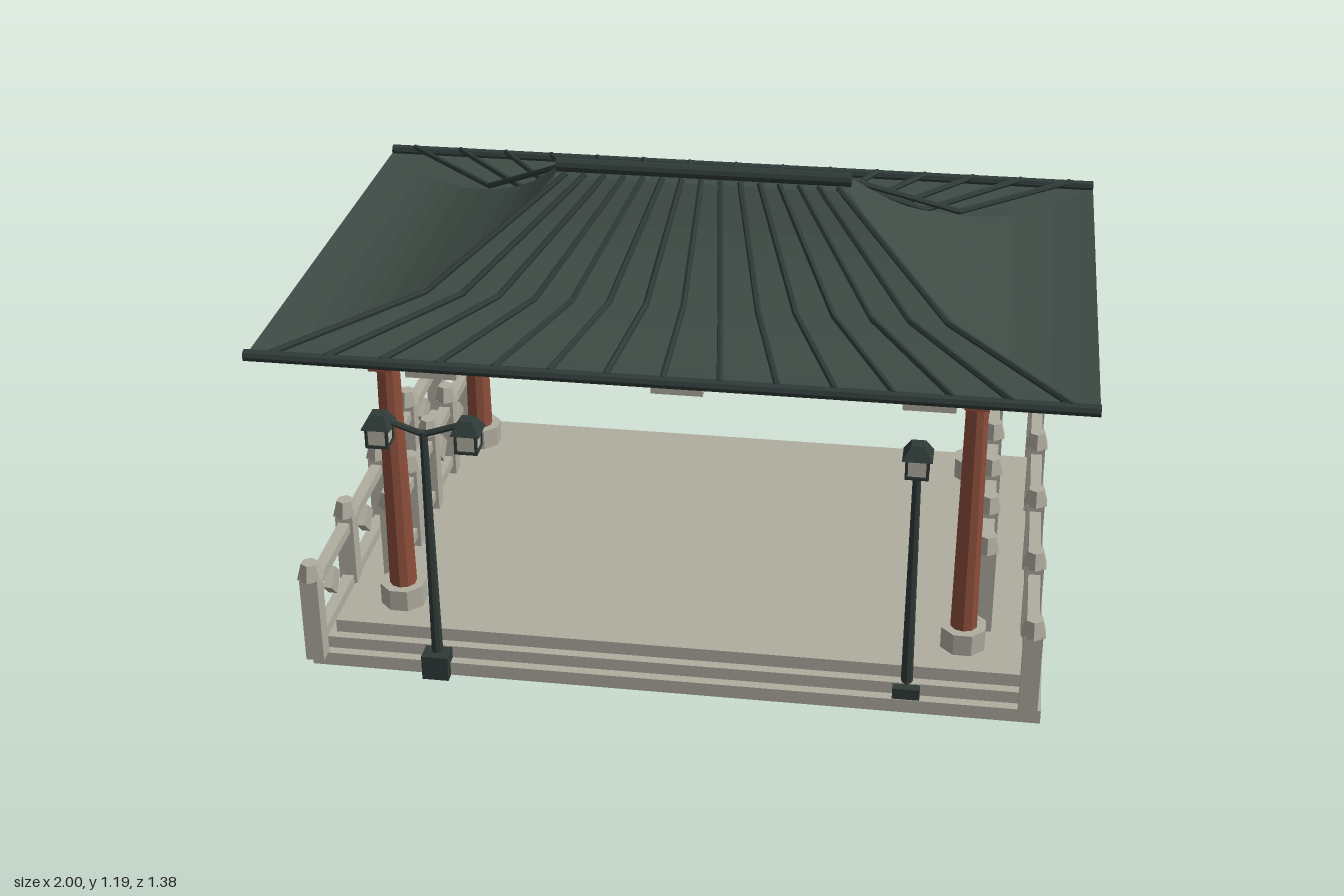
import * as THREE from 'three';

const mat = (name, color, extra = {}) => {
  const m = new THREE.MeshStandardMaterial({ color, ...extra });
  m.name = name;
  return m;
};

export function createModel() {
  const model = new THREE.Group();
  model.name = 'pavilion';
  const stone = mat('stone', 0xb0ada0, { flatShading: true });
  const wood = mat('redWood', 0x8f4f3b, { flatShading: true });
  const tile = mat('roofTile', 0x3e4b45, { flatShading: true, side: THREE.DoubleSide });
  const dark = mat('darkTrim', 0x2f3b38, { flatShading: true });
  const lampGlass = mat('lampGlass', 0xb9b6a6, { flatShading: true });
  const ZC = -0.005; // centre line of the building

  const add = (parent, name, geo, material, x = 0, y = 0, z = 0) => {
    const m = new THREE.Mesh(geo, material);
    m.name = name;
    m.position.set(x, y, z);
    parent.add(m);
    return m;
  };
  // Box given by its bottom height and top height
  const box = (parent, name, material, w, y0, y1, d, x = 0, z = 0) =>
    add(parent, name, new THREE.BoxGeometry(w, y1 - y0, d), material, x, (y0 + y1) / 2, z);
  // Upright tapered prism
  const prism = (parent, name, material, rTop, rBottom, y0, y1, sides, x, z, turn = 0) => {
    const m = add(parent, name, new THREE.CylinderGeometry(rTop, rBottom, y1 - y0, sides), material, x, (y0 + y1) / 2, z);
    m.rotation.y = turn;
    return m;
  };
  // Rod between two points
  const rod = (parent, name, material, a, b, r, sides = 6) => {
    const from = new THREE.Vector3(...a), to = new THREE.Vector3(...b);
    const dir = to.clone().sub(from);
    const m = add(parent, name, new THREE.CylinderGeometry(r, r, dir.length(), sides), material);
    m.position.copy(from).add(to).multiplyScalar(0.5);
    m.quaternion.setFromUnitVectors(new THREE.Vector3(0, 1, 0), dir.normalize());
    return m;
  };
  const group = (name) => {
    const g = new THREE.Group();
    g.name = name;
    model.add(g);
    return g;
  };

  // Stepped platform
  const platform = group('platform');
  box(platform, 'lowerStep', stone, 1.85, 0, 0.037, 1.21, 0, ZC);
  box(platform, 'middleStep', stone, 1.8, 0.037, 0.07, 1.16, 0, ZC);
  box(platform, 'floor', stone, 1.745, 0.07, 0.105, 1.11, 0, ZC);

  // Railings: an outer and a raised inner row on each side
  const railing = (name, x, y, zFirst, pitch) => {
    const g = group(name);
    const zLast = zFirst - 4 * pitch, mid = (zFirst + zLast) / 2, len = 4 * pitch;
    for (let i = 0; i < 5; i++) {
      const z = zFirst - i * pitch;
      box(g, 'post', stone, 0.046, y, y + 0.235, 0.046, x, z);
      prism(g, 'postCap', stone, 0.022, 0.034, y + 0.232, y + 0.275, 6, x, z);
      if (i < 4) {
        const d = box(g, 'diamond', stone, 0.022, y + 0.099, y + 0.157, 0.058, x, z - pitch / 2);
        d.rotation.x = Math.PI / 4;
      }
    }
    box(g, 'topRail', stone, 0.03, y + 0.19, y + 0.217, len, x, mid);
    box(g, 'bottomRail', stone, 0.03, y + 0.03, y + 0.058, len, x, mid);
  };
  for (const s of [-1, 1]) {
    railing('outerRailing', s * 0.89, 0.07, 0.66, 0.311);
    railing('innerRailing', s * 0.77, 0.103, 0.345, 0.2);
  }

  // Columns with stone feet and bracket blocks
  const frame = group('timberFrame');
  for (const x of [-0.723, 0.723]) {
    for (const z of [0.43, -0.44]) {
      prism(frame, 'columnFoot', stone, 0.06, 0.06, 0.1, 0.163, 8, x, z, Math.PI / 8);
      prism(frame, 'column', wood, 0.028, 0.035, 0.163, 0.83, 10, x, z);
      box(frame, 'bracketBlock', wood, 0.12, 0.8, 0.855, 0.093, x, z);
    }
    box(frame, 'sideBeam', wood, 0.06, 0.805, 0.858, 1.015, x, -0.007);
  }
  for (const z of [0.43, -0.44]) {
    box(frame, 'longBeam', wood, 1.665, 0.81, 0.87, 0.062, 0, z);
    for (const x of [-0.61, 0, 0.61]) box(frame, 'beamPlate', stone, 0.128, 0.77, 0.81, 0.045, x, z);
  }

  // Hipped roof shell: rectangles swept down a concave profile
  const roof = group('roof');
  roof.position.z = ZC;
  const profile = new THREE.SplineCurve([
    [0, 1.152], [0.17, 1.05], [0.35, 0.98], [0.59, 0.915], [0.79, 0.897], [1, 0.908],
  ].map(([t, y]) => new THREE.Vector2(t, y))).getPoints(12);
  const corners = [[1, 1], [1, -1], [-1, -1], [-1, 1]];
  const pos = [], idx = [0, 1, 2, 0, 2, 3];
  profile.forEach((p, i) => {
    for (const [sx, sz] of corners) pos.push(sx * (0.375 + 0.625 * p.x), p.y, sz * (0.045 + 0.625 * p.x));
    if (i === 0) return;
    for (let k = 0; k < 4; k++) {
      const n = (k + 1) % 4, up = (i - 1) * 4, lo = i * 4;
      idx.push(up + k, lo + k, lo + n, up + k, lo + n, up + n);
    }
  });
  let shell = new THREE.BufferGeometry();
  shell.setAttribute('position', new THREE.Float32BufferAttribute(pos, 3));
  shell.setIndex(idx);
  shell = shell.toNonIndexed();
  shell.computeVertexNormals();
  add(roof, 'roofShell', shell, tile);

  // Ridge, eave rods and fanned ribs
  rod(roof, 'ridge', dark, [-0.375, 1.167, 0], [0.375, 1.167, 0], 0.019, 10);
  for (const s of [-1, 1]) {
    rod(roof, 'eaveRod', dark, [-1, 0.914, s * 0.67], [1, 0.914, s * 0.67], 0.015, 8);
    for (let i = -7; i <= 7; i++) {
      const k = i / 7;
      const top = [k * 0.345, 1.158, s * 0.035];
      const bend = [k * 0.64, 0.953, s * 0.345];
      const end = [k * 0.935, 0.924, s * 0.67];
      rod(roof, 'upperRib', dark, top, bend, 0.008);
      rod(roof, 'lowerRib', dark, bend, end, 0.008);
    }
  }

  // Lamp posts: a double one on the right, a single one on the left
  const lantern = (g, x, z) => {
    box(g, 'lanternGlass', lampGlass, 0.05, 0.665, 0.712, 0.05, x, z);
    box(g, 'lanternFloor', dark, 0.056, 0.658, 0.666, 0.056, x, z);
    for (const [sx, sz] of corners) box(g, 'lanternCorner', dark, 0.007, 0.66, 0.712, 0.007, x + sx * 0.025, z + sz * 0.025);
    prism(g, 'lanternRoof', dark, 0.024, 0.051, 0.71, 0.743, 4, x, z, Math.PI / 4);
  };
  const lampPost = (name, x, z, top) => {
    const g = group(name);
    box(g, 'lampFoot', dark, 0.068, 0, 0.067, 0.072, x, z);
    prism(g, 'lampPole', dark, 0.01, 0.015, 0.06, top, 8, x, z);
    return g;
  };
  const double = lampPost('doubleLamp', -0.597, 0.592, 0.7);
  for (const s of [-1, 1]) {
    rod(double, 'lampArm', dark, [-0.597, 0.692, 0.592], [-0.597 + s * 0.11, 0.73, 0.592], 0.008);
    lantern(double, -0.597 + s * 0.11, 0.592);
  }
  lantern(lampPost('singleLamp', 0.592, 0.562, 0.67), 0.592, 0.562);

  return model;
}
